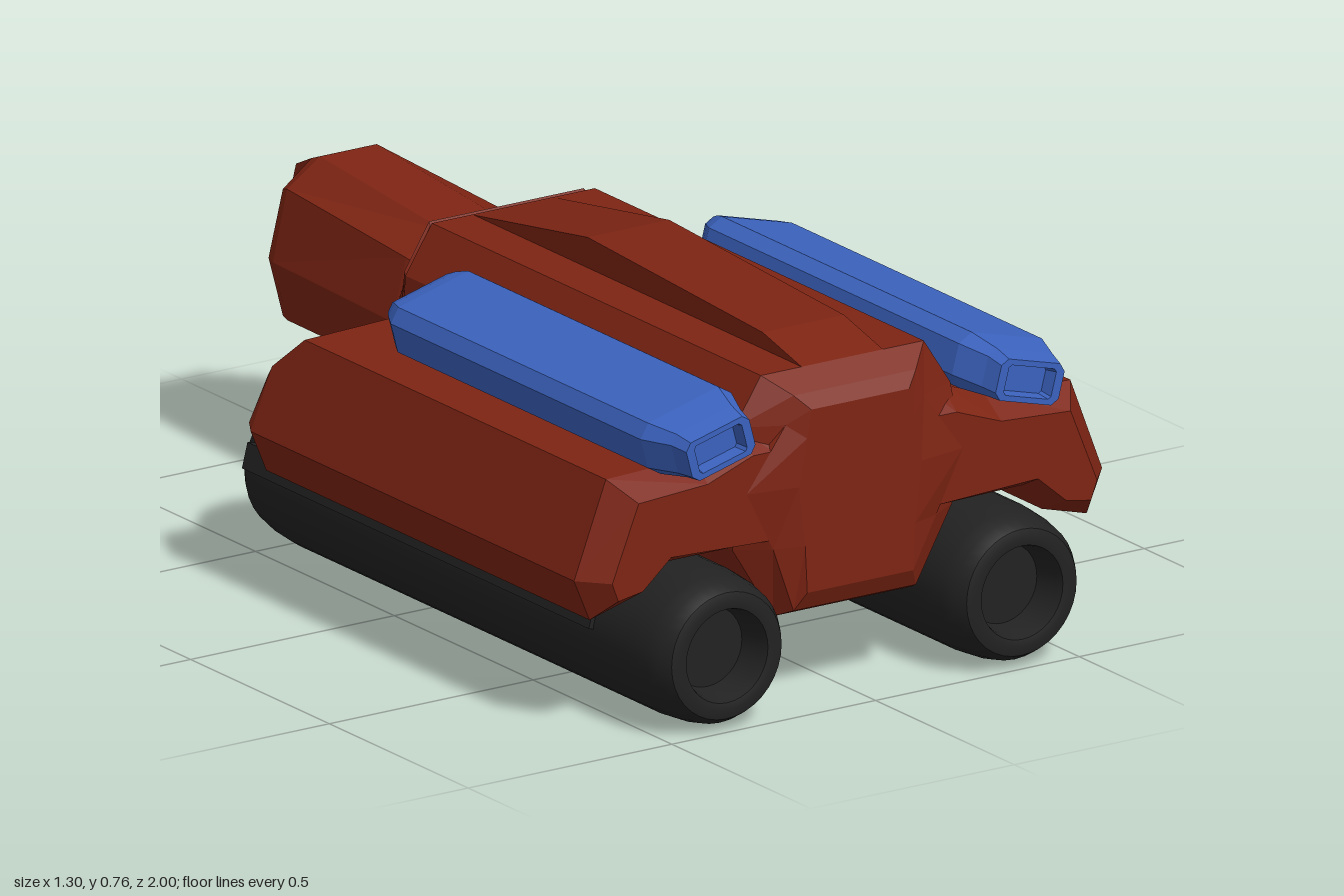
import * as THREE from 'three';
import { toCreasedNormals } from 'three/addons/utils/BufferGeometryUtils.js';

const red = new THREE.MeshStandardMaterial({ color: 0x7d2413, flatShading: true });
const blue = new THREE.MeshStandardMaterial({ color: 0x3b62bd, flatShading: true });
const black = new THREE.MeshStandardMaterial({ color: 0x222222 });

// Skin cross-sections, listed front to back; each is { z, pts: [[x, y], ...] } anticlockwise
function loft(sections) {
  const n = sections[0].pts.length, pos = [], idx = [];
  for (const s of sections) for (const [x, y] of s.pts) pos.push(x, y, s.z);
  for (let i = 0; i < sections.length - 1; i++) {
    for (let j = 0; j < n; j++) {
      const a = i * n + j, b = i * n + (j + 1) % n;
      idx.push(a, a + n, b + n, a, b + n, b);
    }
  }
  const cap = (s, base, flip) => {
    const tris = THREE.ShapeUtils.triangulateShape(s.pts.map(p => new THREE.Vector2(...p)), []);
    for (const [a, b, c] of tris) idx.push(base + a, base + (flip ? c : b), base + (flip ? b : c));
  };
  cap(sections[0], 0, false);
  cap(sections.at(-1), (sections.length - 1) * n, true);
  const g = new THREE.BufferGeometry();
  g.setAttribute('position', new THREE.Float32BufferAttribute(pos, 3));
  g.setIndex(idx);
  const flat = g.toNonIndexed();
  flat.computeVertexNormals();
  return flat;
}

// Right half listed bottom to top, completed by its mirror image
const sym = (z, half) => ({ z, pts: [...half, ...half.map(([x, y]) => [-x, y]).reverse()] });
const mirrorX = s => ({ z: s.z, pts: s.pts.map(([x, y]) => [-x, y]).reverse() });

// Rectangle with chamfered corners
function chamfered(z, w, h, c, cy = 0) {
  return sym(z, [[w - c, cy - h], [w, cy - h + c], [w, cy + h - c], [w - c, cy + h]]);
}

function add(parent, name, geometry, material) {
  const m = new THREE.Mesh(geometry, material);
  m.name = name;
  parent.add(m);
  return m;
}

export function createModel() {
  const model = new THREE.Group();
  model.name = 'hoverVehicle';

  // Central hull, with a tapered nose and a narrow groove near the rear
  const hull = [[0.17, 0.18], [0.27, 0.34], [0.275, 0.47], [0.265, 0.6], [0.2, 0.7]];
  const shrink = k => hull.map(([x, y]) => [x * k, 0.44 + (y - 0.44) * k]);
  add(model, 'hull', loft([
    sym(0.945, [[0.13, 0.24], [0.135, 0.34], [0.15, 0.47], [0.13, 0.57], [0.12, 0.63]]),
    sym(0.925, [[0.15, 0.2], [0.2, 0.34], [0.265, 0.47], [0.17, 0.6], [0.15, 0.66]]),
    sym(0.88, hull),
    sym(-0.305, hull),
    sym(-0.315, shrink(0.95)),
    sym(-0.325, shrink(0.95)),
    sym(-0.33, [[0.16, 0.24], [0.25, 0.36], [0.265, 0.47], [0.25, 0.6], [0.19, 0.695]]),
    sym(-0.36, [[0.15, 0.26], [0.22, 0.36], [0.235, 0.47], [0.22, 0.59], [0.16, 0.68]]),
    sym(-0.46, [[0.1, 0.29], [0.17, 0.34], [0.19, 0.45], [0.15, 0.56], [0.08, 0.6]]),
  ]), red);

  // Raised spine on the roof
  const spine = [[0.88, 0.69, 0.70], [0.74, 0.69, 0.735], [0.11, 0.69, 0.765], [-0.3, 0.69, 0.70]];
  add(model, 'roofSpine', loft(spine.map(([z, y0, y1]) => sym(z, [[0.1, y0], [0.1, y1]]))), red);

  // Tail boom with a chamfered end
  add(model, 'tailBoom', loft([
    sym(-0.38, [[0.09, 0.285], [0.17, 0.34], [0.2, 0.45], [0.16, 0.57], [0.07, 0.6]]),
    sym(-0.45, [[0.09, 0.28], [0.17, 0.33], [0.2, 0.45], [0.165, 0.58], [0.07, 0.62]]),
    sym(-0.9, [[0.08, 0.28], [0.15, 0.32], [0.185, 0.45], [0.15, 0.6], [0.07, 0.655]]),
    sym(-0.93, [[0.08, 0.28], [0.14, 0.32], [0.175, 0.45], [0.14, 0.59], [0.07, 0.643]]),
    sym(-1, [[0.05, 0.28], [0.065, 0.33], [0.075, 0.45], [0.07, 0.57], [0.06, 0.61]]),
  ]), red);

  // Side fenders overhanging the rollers
  const fender = [
    { z: 0.925, pts: [[0.2, 0.36], [0.45, 0.37], [0.52, 0.31], [0.58, 0.3], [0.595, 0.34],
      [0.53, 0.5], [0.36, 0.51], [0.25, 0.55], [0.2, 0.55]] },
    { z: 0.865, pts: [[0.2, 0.34], [0.45, 0.34], [0.5, 0.28], [0.61, 0.25], [0.648, 0.34],
      [0.57, 0.543], [0.36, 0.55], [0.25, 0.595], [0.2, 0.6]] },
  ];
  fender.push({ z: -0.22, pts: fender[1].pts });
  fender.push({ z: -0.3, pts: [[0.2, 0.34], [0.45, 0.34], [0.5, 0.28], [0.61, 0.25], [0.648, 0.34],
    [0.595, 0.47], [0.36, 0.48], [0.25, 0.52], [0.2, 0.53]] });
  fender.push({ z: -0.325, pts: [[0.2, 0.36], [0.45, 0.36], [0.51, 0.32], [0.61, 0.31], [0.635, 0.35],
    [0.59, 0.44], [0.36, 0.45], [0.25, 0.49], [0.2, 0.5]] });
  add(model, 'leftFender', loft(fender), red);
  add(model, 'rightFender', loft(fender.map(mirrorX)), red);

  // Blue pod: tapered ends and a recessed nose
  const podGeo = loft([
    chamfered(0.97, 0.055, 0.028, 0.006, -0.01),
    chamfered(1.0, 0.06, 0.032, 0.006, -0.01),
    chamfered(1.0, 0.08, 0.044, 0.015, -0.01),
    chamfered(0.96, 0.088, 0.05, 0.018, -0.005),
    chamfered(0.89, 0.115, 0.059, 0.026),
    chamfered(-0.01, 0.115, 0.059, 0.026),
    chamfered(-0.04, 0.1, 0.054, 0.022),
    chamfered(-0.065, 0.085, 0.045, 0.016),
  ]);

  // Long roller with rounded rims and hollow ends
  const end = [[0, 0.70], [0.085, 0.70], [0.095, 0.755], [0.1, 0.772], [0.115, 0.775],
    [0.135, 0.77], [0.15, 0.745], [0.157, 0.71], [0.162, 0.65]];
  const profile = [...end.map(([r, y]) => [r, -y]), ...end.slice().reverse()];
  const rollerGeo = toCreasedNormals(
    new THREE.LatheGeometry(profile.map(p => new THREE.Vector2(...p)), 36).rotateX(Math.PI / 2), 0.7);

  for (const [side, s] of [['left', 1], ['right', -1]]) {
    const pod = add(model, side + 'Pod', podGeo, blue);
    pod.position.set(s * 0.382, 0.62, 0);
    pod.rotation.z = -s * 0.26;

    const roller = new THREE.Group();
    roller.name = side + 'Roller';
    roller.position.set(s * 0.362, 0.163, 0.225);
    model.add(roller);
    add(roller, 'rollerTube', rollerGeo, black);
    // Guide rail along the outer face
    const rail = add(roller, 'guideRail', new THREE.BoxGeometry(0.03, 0.055, 1.25), black);
    rail.position.set(s * 0.15, 0.045, -0.1);
    rail.rotation.z = s * 0.25;
  }
  return model;
}
